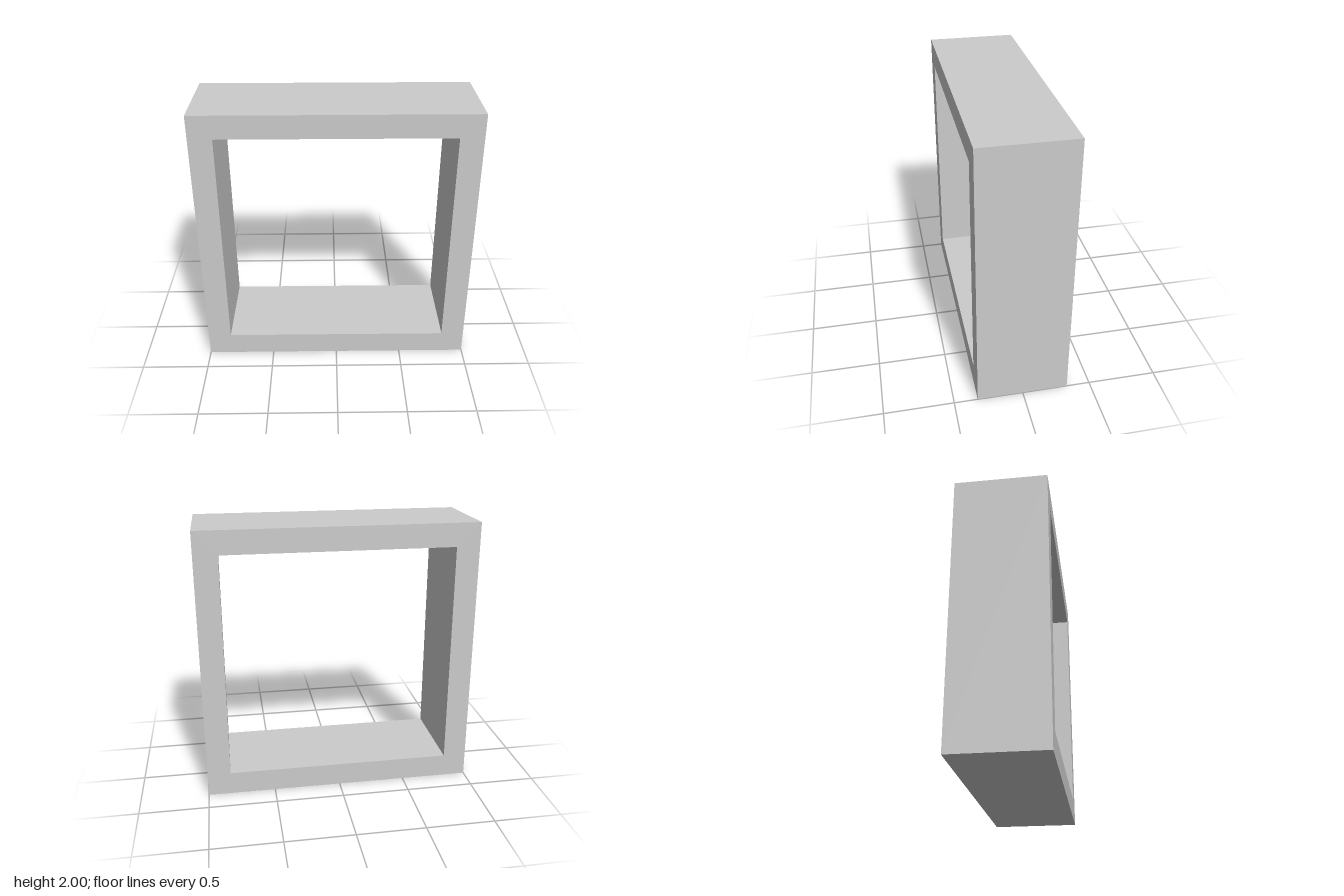
import * as THREE from 'three';

const SIZE = 2, WALL = 0.17, DEPTH = 0.66;

// Closed square outline of the given half width, centred on the origin
function square(PathType, h) {
  const path = new PathType();
  path.moveTo(-h, -h).lineTo(h, -h).lineTo(h, h).lineTo(-h, h).closePath();
  return path;
}

export function createModel() {
  const group = new THREE.Group();
  group.name = 'squareFrame';

  // Square frame with an open middle
  const outline = square(THREE.Shape, SIZE / 2);
  outline.holes.push(square(THREE.Path, SIZE / 2 - WALL));
  const geometry = new THREE.ExtrudeGeometry(outline, { depth: DEPTH, bevelEnabled: false });
  geometry.translate(0, SIZE / 2, -DEPTH / 2);

  const frame = new THREE.Mesh(
    geometry,
    new THREE.MeshStandardMaterial({ color: 0xcccccc, flatShading: true })
  );
  frame.name = 'frame';
  group.add(frame);
  return group;
}
